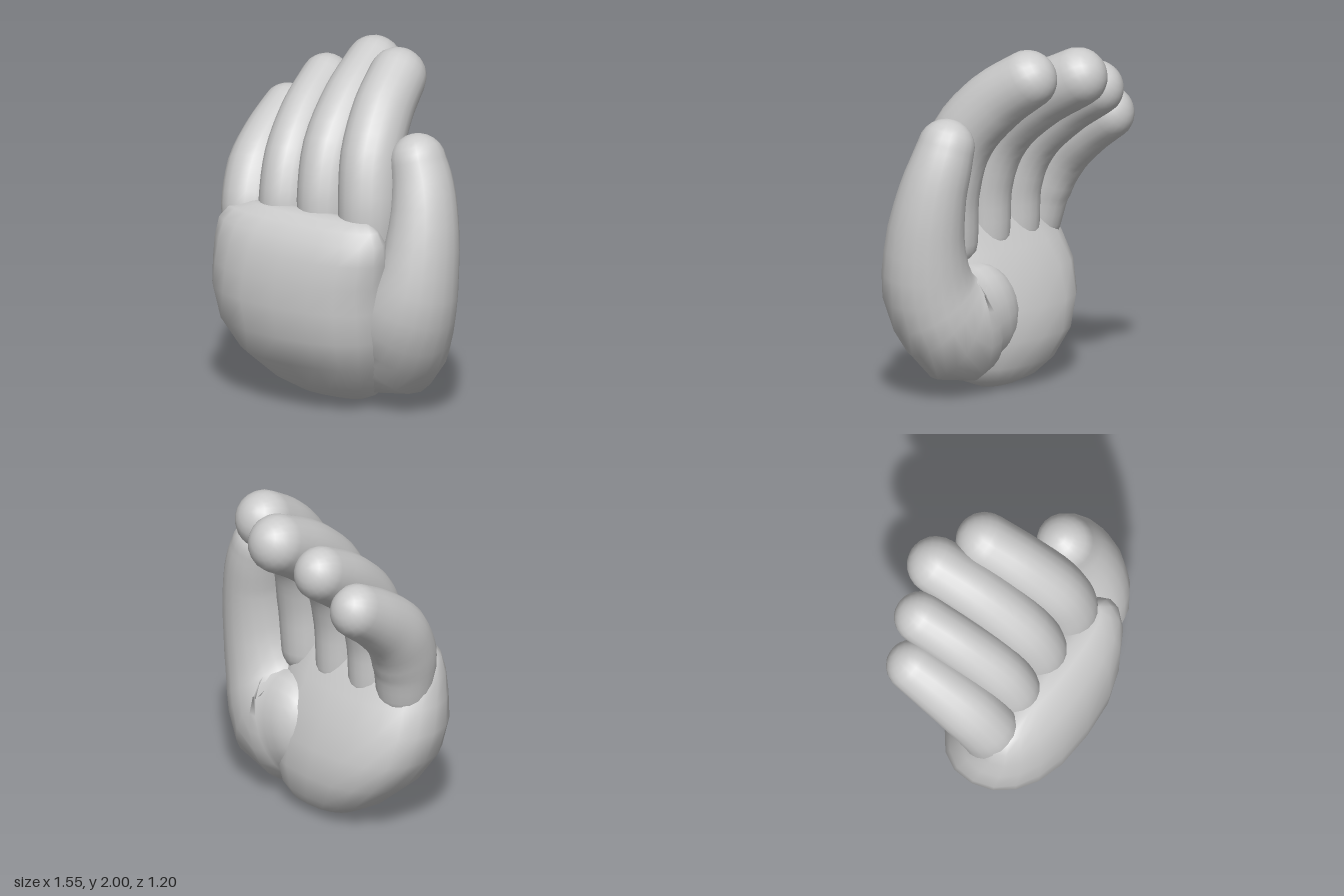
import * as THREE from 'three';

const SIDES = 20;
const V = (x, y, z) => new THREE.Vector3(x, y, z);
const material = new THREE.MeshStandardMaterial({ color: 0xcccccc });

// Skin a list of rings (running counter-clockwise about the travel direction) and close both ends.
function loft(name, rings, start, end) {
  const pos = [], index = [], n = SIDES;
  for (const ring of rings) for (const p of ring) pos.push(p.x, p.y, p.z);
  for (let r = 0; r < rings.length - 1; r++) {
    for (let i = 0; i < n; i++) {
      const j = (i + 1) % n, a = r * n + i, b = r * n + j;
      index.push(a, b, b + n, a, b + n, a + n);
    }
  }
  const s = rings.length * n, last = (rings.length - 1) * n;
  pos.push(start.x, start.y, start.z, end.x, end.y, end.z);
  for (let i = 0; i < n; i++) {
    const j = (i + 1) % n;
    index.push(s, j, i, s + 1, last + i, last + j);
  }
  const geo = new THREE.BufferGeometry();
  geo.setAttribute('position', new THREE.Float32BufferAttribute(pos, 3));
  geo.setIndex(index);
  geo.computeVertexNormals();
  const mesh = new THREE.Mesh(geo, material);
  mesh.name = name;
  return mesh;
}

// Round-ended digit: stations are [x, y, z, radius along ref, radius across it].
function digit(name, stations, ref) {
  const curve = new THREE.CatmullRomCurve3(stations.map(s => V(s[0], s[1], s[2])), false, 'centripetal');
  const rings = [], steps = 16, m = stations.length - 1;
  const addRing = (t, shrink, push) => {
    const f = Math.min(t * m, m - 1e-6), k = Math.floor(f), w = f - k;
    const mix = c => THREE.MathUtils.lerp(stations[k][c], stations[k + 1][c], w);
    const ra = mix(3), rb = mix(4), T = curve.getTangent(t);
    const A = ref.clone().addScaledVector(T, -ref.dot(T)).normalize();
    const B = T.clone().cross(A);
    const c = curve.getPoint(t).addScaledVector(T, push * (ra + rb) / 2);
    const ring = [];
    for (let i = 0; i < SIDES; i++) {
      const q = i / SIDES * Math.PI * 2;
      ring.push(c.clone().addScaledVector(A, Math.cos(q) * ra * shrink).addScaledVector(B, Math.sin(q) * rb * shrink));
    }
    rings.push(ring);
  };
  const caps = [1, 2, 3, 4, 5].map(k => k / 6 * Math.PI / 2);
  for (const a of [...caps].reverse()) addRing(0, Math.cos(a), -Math.sin(a));
  for (let i = 0; i <= steps; i++) addRing(i / steps, 1, 0);
  for (const a of caps) addRing(1, Math.cos(a), Math.sin(a));
  const pole = (t, d) => {
    const s = stations[t * m];
    return V(s[0], s[1], s[2]).addScaledVector(curve.getTangent(t), d * (s[3] + s[4]) / 2);
  };
  return loft(name, rings, pole(0, -1), pole(1, 1));
}

// Palm: stacked rounded sections [y, xMin, xMax, zBack, zFront].
function palm() {
  const rows = [
    [0.01, -0.15, 0.12, -0.02, 0.12],
    [0.05, -0.30, 0.21, -0.09, 0.24],
    [0.13, -0.45, 0.29, -0.15, 0.36],
    [0.28, -0.62, 0.37, -0.19, 0.50],
    [0.45, -0.73, 0.42, -0.17, 0.575],
    [0.63, -0.77, 0.425, -0.11, 0.59],
    [0.78, -0.75, 0.425, -0.03, 0.585],
    [0.92, -0.725, 0.445, 0.07, 0.565],
    [1.03, -0.70, 0.44, 0.14, 0.52],
    [1.10, -0.64, 0.40, 0.20, 0.46],
    [1.14, -0.48, 0.33, 0.25, 0.41],
  ];
  const pw = (v, e) => Math.sign(v) * Math.abs(v) ** e;
  const rings = rows.map(([y, x0, x1, z0, z1]) => {
    const ring = [], cx = (x0 + x1) / 2, cz = (z0 + z1) / 2;
    for (let i = 0; i < SIDES; i++) {
      const q = -i / SIDES * Math.PI * 2;
      const dx = pw(Math.cos(q), 0.8) * (x1 - x0) / 2;
      ring.push(V(cx + dx, y, cz + pw(Math.sin(q), 0.92) * (z1 - z0) / 2 + dx * 0.1));
    }
    return ring;
  });
  return loft('palm', rings, V(0, 0, 0.05), V(-0.08, 1.155, 0.33));
}

export function createModel() {
  const hand = new THREE.Group();
  hand.name = 'hand';
  hand.add(palm());

  // Fingers curl backward; every station is [x, y, z, half width, half depth].
  const fingers = {
    indexFinger: [[0.23, 0.85, 0.21, 0.16, 0.16], [0.24, 1.18, 0.21, 0.175, 0.185], [0.21, 1.46, 0.135, 0.175, 0.19],
      [0.17, 1.68, -0.05, 0.17, 0.185], [0.14, 1.83, -0.26, 0.165, 0.17]],
    middleFinger: [[-0.06, 0.85, 0.18, 0.15, 0.16], [-0.06, 1.18, 0.18, 0.165, 0.185], [-0.08, 1.45, 0.08, 0.17, 0.19],
      [-0.10, 1.67, -0.16, 0.17, 0.185], [-0.12, 1.82, -0.43, 0.165, 0.17]],
    ringFinger: [[-0.33, 0.85, 0.16, 0.15, 0.16], [-0.33, 1.13, 0.16, 0.16, 0.185], [-0.35, 1.36, 0.07, 0.16, 0.185],
      [-0.38, 1.56, -0.14, 0.155, 0.175], [-0.40, 1.70, -0.37, 0.15, 0.158]],
    littleFinger: [[-0.55, 0.85, 0.17, 0.16, 0.17], [-0.575, 1.06, 0.14, 0.175, 0.20], [-0.60, 1.25, 0.04, 0.175, 0.195],
      [-0.61, 1.40, -0.13, 0.165, 0.175], [-0.615, 1.51, -0.30, 0.15, 0.158]],
  };
  for (const [name, stations] of Object.entries(fingers)) hand.add(digit(name, stations, V(1, 0, 0)));

  // Thumb swells out of a broad pad on the palm and stands beside the fingers.
  hand.add(digit('thumb', [
    [0.19, 0.44, 0.06, 0.22, 0.31], [0.32, 0.41, 0.09, 0.255, 0.36], [0.47, 0.58, 0.175, 0.27, 0.285],
    [0.55, 0.87, 0.17, 0.235, 0.225], [0.55, 1.18, 0.12, 0.20, 0.19], [0.515, 1.35, 0.085, 0.18, 0.175],
    [0.48, 1.46, 0.07, 0.165, 0.16],
  ], V(0, 0, 1)));
  return hand;
}
